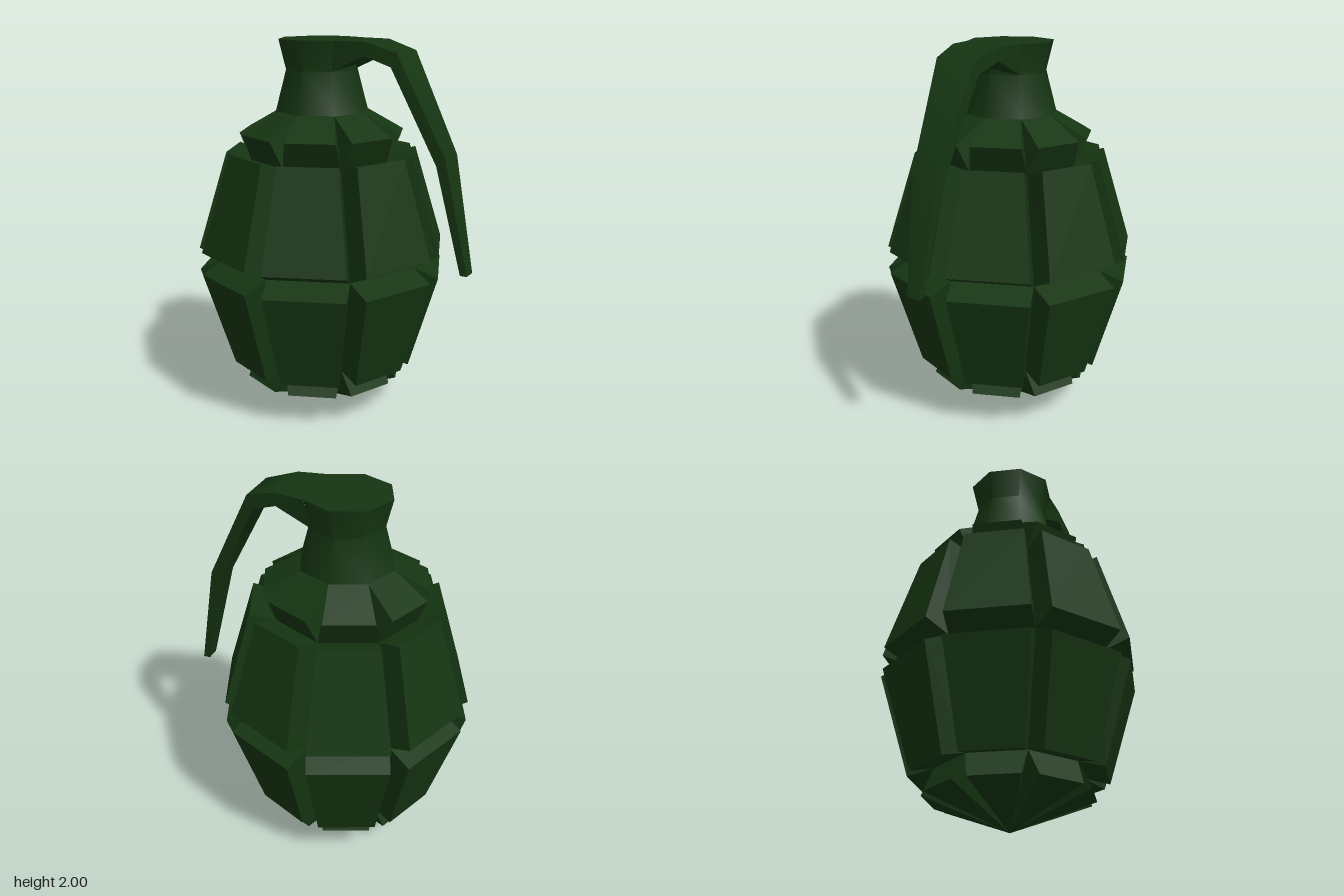
import * as THREE from 'three';
import { toCreasedNormals } from 'three/addons/utils/BufferGeometryUtils.js';

const AXIS_X = -0.1;
const SIDES = 8;
const HALF = Math.PI / SIDES;

// Geometry from a list of quads (corners counter-clockwise); collapsed triangles are skipped
function quadGeometry(quads) {
  const pos = [];
  const tri = new THREE.Triangle();
  for (const [a, b, c, d] of quads) {
    for (const t of [[a, b, c], [a, c, d]]) {
      tri.set(...t);
      if (tri.getArea() > 1e-7) t.forEach((p) => pos.push(p.x, p.y, p.z));
    }
  }
  const geo = new THREE.BufferGeometry();
  geo.setAttribute('position', new THREE.Float32BufferAttribute(pos, 3));
  geo.computeVertexNormals();
  return geo;
}

// Horizontal edge of a segment: distance from the axis, half width, height -> [left, right]
const edge = (dist, half, y) => [new THREE.Vector3(-half, y, dist), new THREE.Vector3(half, y, dist)];
// One side of the octagon at the bottom of the grooves
const core = (r, y) => edge(r * Math.cos(HALF), r * Math.sin(HALF), y);

// Raised block: outer face plus four sloping walls down to the groove lines
function segmentGeometry(baseLow, baseHigh, outLow, outHigh) {
  const base = [baseLow[0], baseLow[1], baseHigh[1], baseHigh[0]];
  const outer = [outLow[0], outLow[1], outHigh[1], outHigh[0]];
  const quads = [outer];
  for (let i = 0; i < 4; i++) {
    const j = (i + 1) % 4;
    quads.push([base[i], base[j], outer[j], outer[i]]);
  }
  return quadGeometry(quads);
}

export function createModel() {
  const model = new THREE.Group();
  model.name = 'grenade';
  const flat = new THREE.MeshStandardMaterial({ color: 0x153512, flatShading: true });
  const smooth = new THREE.MeshStandardMaterial({ color: 0x153512 });

  // Groove lines shared by neighbouring rows
  const tip = core(0, 0);
  const lowLine = core(0.385, 0.3);
  const middle = core(0.55, 0.845);
  const highLine = core(0.385, 1.38);
  const neckLine = core(0.25, 1.63);

  // Four rows of segments
  const rows = {
    bottomSegment: segmentGeometry(tip, lowLine, edge(0.42, 0.128, 0.17), lowLine),
    lowerSegment: segmentGeometry(lowLine, middle, edge(0.488, 0.153, 0.265), edge(0.638, 0.21, 0.785)),
    upperSegment: segmentGeometry(middle, highLine, edge(0.638, 0.21, 0.905), edge(0.488, 0.153, 1.42)),
    shoulderSegment: segmentGeometry(highLine, neckLine, highLine, edge(0.42, 0.128, 1.52)),
  };
  const body = new THREE.Group();
  body.name = 'body';
  body.position.x = AXIS_X;
  for (const [name, geo] of Object.entries(rows)) {
    for (let k = 0; k < SIDES; k++) {
      const mesh = new THREE.Mesh(geo, flat);
      mesh.name = name;
      mesh.rotation.y = HALF * (2 * k + 1);
      body.add(mesh);
    }
  }
  model.add(body);

  // Waisted neck with a flat lid
  const profile = [[0.25, 1.63], [0.192, 1.845], [0.23, 2], [0, 2]].map(([r, y]) => new THREE.Vector2(r, y));
  const neck = new THREE.Mesh(toCreasedNormals(new THREE.LatheGeometry(profile, SIDES), 0.85), smooth);
  neck.name = 'neck';
  neck.position.x = AXIS_X;
  model.add(neck);

  // Safety lever: sections as [top x, top y, top half width, bottom x, bottom y, bottom half width]
  const sections = [
    [0.063, 2, 0.163, 0.035, 1.845, 0.135],
    [0.22, 2, 0.135, 0.22, 1.93, 0.135],
    [0.385, 1.95, 0.112, 0.355, 1.88, 0.112],
    [0.64, 1.45, 0.075, 0.595, 1.41, 0.078],
    [0.762, 0.855, 0.037, 0.725, 0.855, 0.037],
  ].map(([tx, ty, tw, bx, by, bw]) => [
    new THREE.Vector3(tx, ty, tw),
    new THREE.Vector3(tx, ty, -tw),
    new THREE.Vector3(bx, by, -bw),
    new THREE.Vector3(bx, by, bw),
  ]);
  const quads = [];
  for (let s = 0; s < sections.length - 1; s++) {
    const a = sections[s], b = sections[s + 1];
    for (let i = 0; i < 4; i++) {
      const j = (i + 1) % 4;
      quads.push([a[i], b[i], b[j], a[j]]);
    }
  }
  const end = sections[sections.length - 1];
  quads.push([end[3], end[2], end[1], end[0]]);
  const lever = new THREE.Mesh(toCreasedNormals(quadGeometry(quads), 0.85), smooth);
  lever.name = 'safetyLever';
  model.add(lever);

  return model;
}
